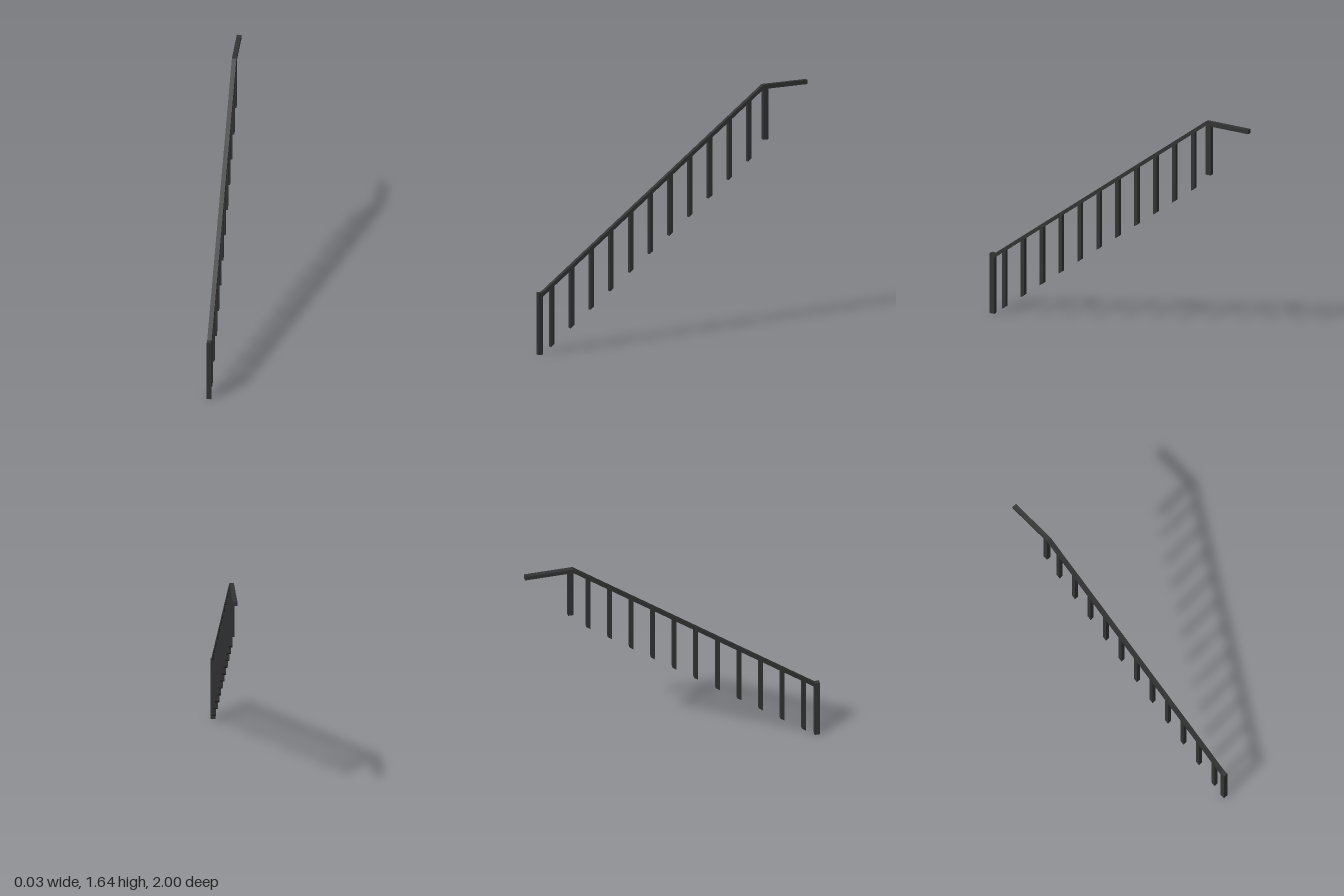
import * as THREE from 'three';

const SLOPE = 0.748;             // rise per unit of run towards -z
const LOW_Z = 0.965, HIGH_Z = -0.673;
const TOP_Y = 1.645;             // top of the handrail at the landing
const RAIL = 0.029;              // vertical thickness of the rails

// height of the sloped rail's upper face at a given z
const railTop = z => TOP_Y - (z - HIGH_Z) * SLOPE;

export function createModel() {
  const model = new THREE.Group();
  model.name = 'stairRailing';
  const material = new THREE.MeshStandardMaterial({ color: 0x333333 });

  // upright-sided bar: side profile between two z values, with sloped or level ends
  function bar(name, zBack, zFront, bottom, top, width) {
    const shape = new THREE.Shape([
      new THREE.Vector2(zBack, bottom(zBack)),
      new THREE.Vector2(zFront, bottom(zFront)),
      new THREE.Vector2(zFront, top(zFront)),
      new THREE.Vector2(zBack, top(zBack)),
    ]);
    const geometry = new THREE.ExtrudeGeometry(shape, { depth: width, bevelEnabled: false });
    geometry.translate(0, 0, -width / 2).rotateY(-Math.PI / 2);
    const mesh = new THREE.Mesh(geometry, material);
    mesh.name = name;
    model.add(mesh);
  }
  const level = y => () => y;
  const railUnder = z => railTop(z) - RAIL;

  // posts at the foot and the head of the stair
  bar('bottomPost', LOW_Z, 1, level(0), level(0.418), 0.03);
  bar('topPost', HIGH_Z - 0.036, HIGH_Z, level(1.275), level(TOP_Y - RAIL), 0.03);

  // sloped handrail and the level rail on the landing
  bar('slopedHandrail', HIGH_Z, LOW_Z, railUnder, railTop, 0.03);
  bar('landingHandrail', -1, HIGH_Z, level(TOP_Y - RAIL), level(TOP_Y), 0.03);

  // balusters, cut parallel to the handrail at both ends
  for (let i = 0; i < 11; i++) {
    const z = 0.893 - i * 0.1464;
    bar('baluster' + (i + 1), z - 0.0135, z + 0.0135, y => railTop(y) - 0.419, railUnder, 0.028);
  }
  return model;
}
